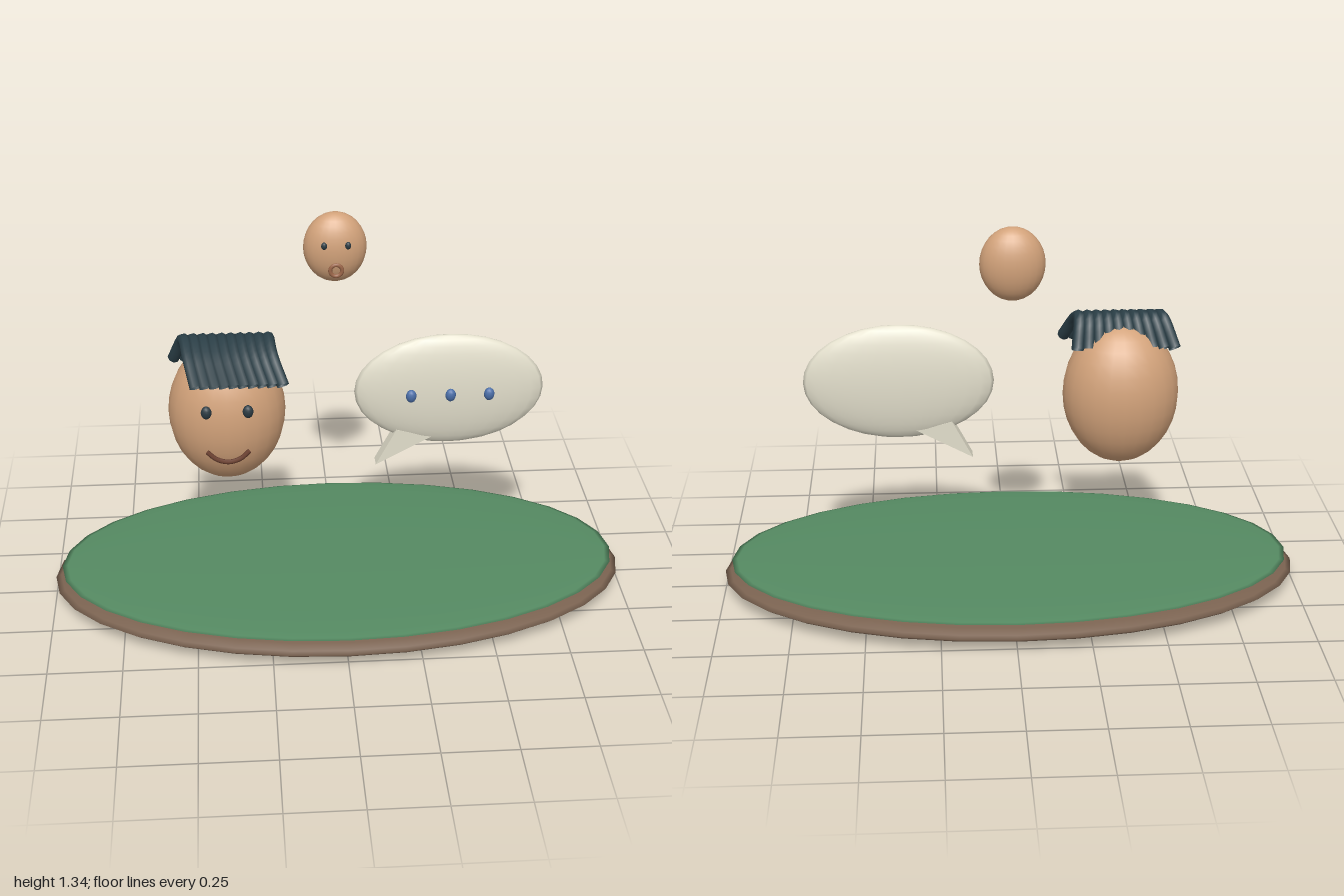
import * as THREE from 'three';

const paint = (color, side = THREE.FrontSide) => new THREE.MeshStandardMaterial({ color, side });
const SKIN = paint(0xd2a27a);
const DARK = paint(0x2b3a42);
const HAIR = paint(0x2b3f47, THREE.DoubleSide);
const LIP = paint(0x9a6548);
const CREAM = paint(0xe2decb);
const BLUE = paint(0x4a6ea8);
const SOIL = paint(0x7a6250);
const GRASS = paint(0x558a62);

function createModel() {
  const model = new THREE.Group();

  const add = (parent, name, geometry, material) => {
    const mesh = new THREE.Mesh(geometry, material);
    mesh.name = name;
    parent.add(mesh);
    return mesh;
  };
  const group = (name) => {
    const g = new THREE.Group();
    g.name = name;
    model.add(g);
    return g;
  };
  // Sphere squashed to the given radii
  const ellipsoid = (parent, name, material, [x, y, z], [rx, ry, rz], w = 24, h = 16) =>
    add(parent, name, new THREE.SphereGeometry(1, w, h).scale(rx, ry, rz).translate(x, y, z), material);

  // Island: two flattened lenses
  const island = group('island');
  ellipsoid(island, 'soil', SOIL, [0, 0.06, 0], [1, 0.058, 0.545], 32, 16);
  ellipsoid(island, 'grass', GRASS, [0, 0.105, 0], [0.975, 0.018, 0.525], 32, 16);

  // Large smiling head
  const head = group('largeHead');
  ellipsoid(head, 'face', SKIN, [-0.378, 0.71, 0], [0.198, 0.25, 0.157]);
  for (const [name, x] of [['rightEye', -0.447], ['leftEye', -0.309]])
    ellipsoid(head, name, DARK, [x, 0.775, 0.153], [0.018, 0.023, 0.014], 12, 8);
  const smile = new THREE.CatmullRomCurve3([
    [-0.449, 0.625, 0.148], [-0.418, 0.6, 0.154], [-0.378, 0.59, 0.157],
    [-0.338, 0.6, 0.154], [-0.307, 0.625, 0.148],
  ].map((p) => new THREE.Vector3(...p)));
  add(head, 'smile', new THREE.TubeGeometry(smile, 20, 0.008, 6), paint(0x6b4030, THREE.DoubleSide));

  // Hair: a row of thick strands sweeping from back to fringe
  const hair = new THREE.Group();
  hair.name = 'hair';
  head.add(hair);
  const COUNT = 10;
  for (let i = 0; i < COUNT; i++) {
    const t = i / (COUNT - 1);
    const along = (a, b) => a + (b - a) * t;
    const strand = new THREE.CatmullRomCurve3([
      new THREE.Vector3(along(-0.552, -0.225), 0.883, -0.053),
      new THREE.Vector3(along(-0.515, -0.235), 0.975, 0.005),
      new THREE.Vector3(along(-0.5, -0.225), 0.945, 0.088),
      new THREE.Vector3(along(-0.478, -0.192), 0.866, 0.151),
    ]);
    add(hair, 'hairStrand', new THREE.TubeGeometry(strand, 16, 0.021, 8), HAIR);
  }

  // Small surprised head floating behind
  const small = group('smallHead');
  ellipsoid(small, 'smallFace', SKIN, [0, 1.223, -0.167], [0.107, 0.123, 0.067]);
  for (const [name, x] of [['smallRightEye', -0.04], ['smallLeftEye', 0.04]])
    ellipsoid(small, name, DARK, [x, 1.25, -0.103], [0.01, 0.013, 0.008], 12, 8);
  add(small, 'openMouth', new THREE.TorusGeometry(0.02, 0.007, 8, 20), LIP).position.set(0, 1.162, -0.102);

  // Speech bubble with three dots and a wedge tail
  const bubble = group('speechBubble');
  ellipsoid(bubble, 'bubbleBody', CREAM, [0.377, 0.761, 0], [0.323, 0.203, 0.05]);
  for (const x of [0.243, 0.377, 0.508])
    ellipsoid(bubble, 'bubbleDot', BLUE, [x, 0.762, 0.053], [0.018, 0.023, 0.014], 12, 8);
  const tail = new THREE.Shape([[0.128, 0.488], [0.32, 0.59], [0.198, 0.62]].map((p) => new THREE.Vector2(...p)));
  const wedge = new THREE.ExtrudeGeometry(tail, { depth: 0.05, bevelEnabled: false });
  add(bubble, 'bubbleTail', wedge.translate(0, 0, -0.025), CREAM);

  return model;
}

export { createModel };
